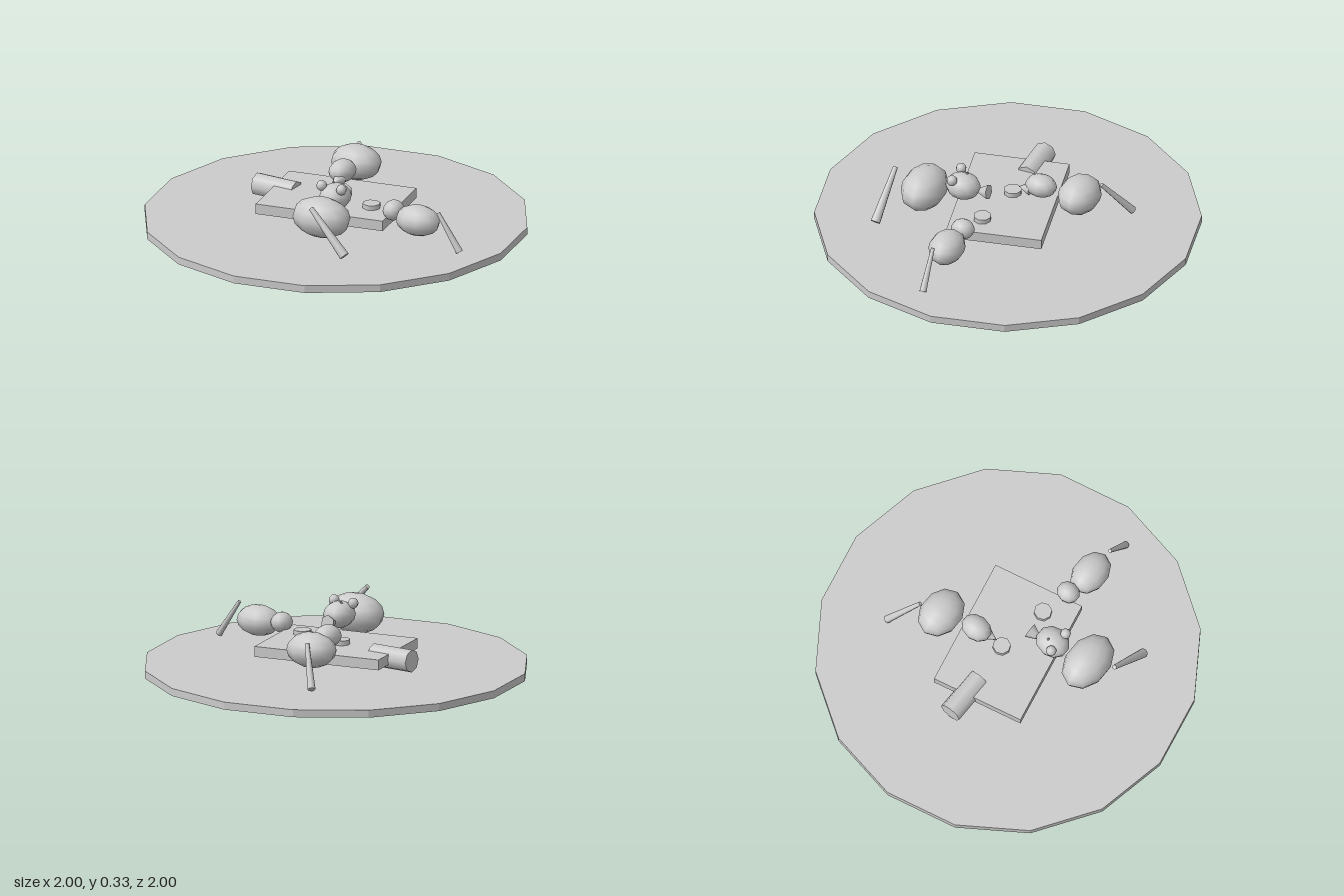
import * as THREE from 'three';

export function createModel() {
  const model = new THREE.Group();
  const smooth = new THREE.MeshStandardMaterial({ color: 0xcccccc });
  const flat = new THREE.MeshStandardMaterial({ color: 0xcccccc, flatShading: true });
  const UP = new THREE.Vector3(0, 1, 0);

  function add(parent, name, geometry, [x, y, z], material = smooth) {
    const mesh = new THREE.Mesh(geometry, material);
    mesh.name = name;
    mesh.position.set(x, y, z);
    parent.add(mesh);
    return mesh;
  }

  function ellipsoid(parent, name, at, radii, segments = 10) {
    const mesh = add(parent, name, new THREE.SphereGeometry(1, segments, 8), at);
    mesh.scale.set(...radii);
    return mesh;
  }

  // Tapered rod between two points, r0 at the start and r1 at the end
  function rod(parent, name, from, to, r0, r1, sides = 8, material = smooth) {
    const a = new THREE.Vector3(...from), b = new THREE.Vector3(...to);
    const dir = b.clone().sub(a);
    const geometry = new THREE.CylinderGeometry(r1, r0, dir.length(), sides);
    const mesh = add(parent, name, geometry, a.add(b).multiplyScalar(0.5).toArray(), material);
    mesh.quaternion.setFromUnitVectors(UP, dir.normalize());
    return mesh;
  }

  // Ground disc
  add(model, 'ground', new THREE.CylinderGeometry(1, 1, 0.04, 16), [0, 0.02, 0], flat);

  // Board with two tokens and a roll at its edge
  add(model, 'board', new THREE.BoxGeometry(0.7, 0.055, 0.5), [0, 0.1225, 0], flat).rotation.y = 0.2;
  for (const [x, z] of [[0.24, 0.04], [-0.04, -0.01]])
    add(model, 'token', new THREE.CylinderGeometry(0.047, 0.047, 0.03, 8), [x, 0.16, z]);
  rod(model, 'roll', [-0.48, 0.12, 0], [-0.24, 0.12, 0], 0.06, 0.06, 8);

  // Three animals around the board, each with body, head and tail
  const animals = [
    {
      name: 'frontAnimal',
      body: [[0.16, 0.2, 0.4], [0.165, 0.105, 0.116]],
      head: [[0.12, 0.24, 0.2], [0.08, 0.07, 0.093]],
      tail: [[0.19, 0.305, 0.55], [0.405, 0.09, 0.57], 0.013, 0.026],
    },
    {
      name: 'leftAnimal',
      body: [[0.56, 0.165, 0.1], [0.125, 0.08, 0.092]],
      head: [[0.4, 0.182, 0.08], [0.055, 0.053, 0.063]],
      tail: [[0.695, 0.24, 0.12], [0.825, 0.05, 0.12], 0.01, 0.019],
    },
    {
      name: 'backAnimal',
      body: [[-0.1, 0.2, -0.36], [0.14, 0.092, 0.11]],
      head: [[-0.06, 0.225, -0.16], [0.067, 0.06, 0.085]],
      tail: [[-0.145, 0.26, -0.462], [-0.262, 0.06, -0.588], 0.011, 0.021],
    },
  ];
  const groups = animals.map(({ name, body, head, tail }) => {
    const group = new THREE.Group();
    group.name = name;
    ellipsoid(group, 'body', ...body);
    ellipsoid(group, 'head', ...head);
    rod(group, 'tail', ...tail);
    model.add(group);
    return group;
  });

  // Front animal: round ears, crest and a muzzle flaring away from the head
  for (const side of [-1, 1])
    ellipsoid(groups[0], 'ear', [0.12 + side * 0.06, 0.3, 0.237], [0.028, 0.028, 0.028], 8);
  rod(groups[0], 'crest', [0.1, 0.285, 0.19], [0.1, 0.32, 0.185], 0.018, 0.001, 5);
  rod(groups[0], 'muzzle', [0.1, 0.225, 0.065], [0.1, 0.215, 0.145], 0.042, 0.001, 6);

  // Back animal: pointed beak
  rod(groups[2], 'beak', [-0.045, 0.2, -0.105], [-0.04, 0.2, -0.045], 0.037, 0.001, 8);

  return model;
}
